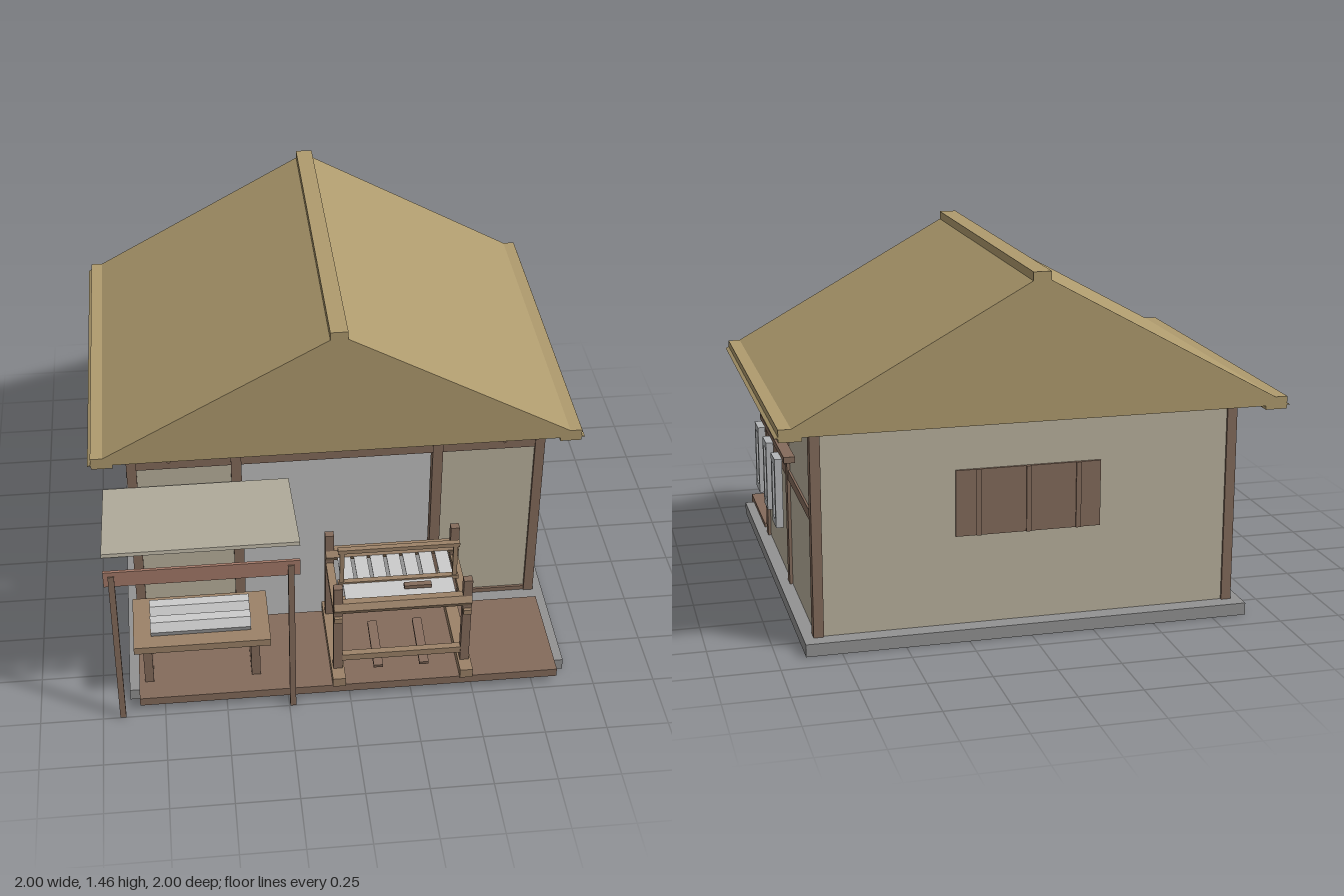
import * as THREE from 'three';

const material = (color) => new THREE.MeshStandardMaterial({ color, flatShading: true });
const M = {
  thatch: material(0xaf9b6e), wall: material(0xbab29e), wood: material(0x846b5b),
  red: material(0xa57a69), pale: material(0x9c8268), stone: material(0x929292),
  cloth: material(0xcccccc), mat: material(0xb5af9f), yarn: material(0xb4b6b8),
};

function add(parent, name, geometry, mat) {
  const mesh = new THREE.Mesh(geometry, mat);
  mesh.name = name;
  parent.add(mesh);
  return mesh;
}

// Box given by its extents on each axis
function box(parent, name, mat, [x0, x1], [y0, y1], [z0, z1]) {
  const mesh = add(parent, name, new THREE.BoxGeometry(x1 - x0, y1 - y0, z1 - z0), mat);
  mesh.position.set((x0 + x1) / 2, (y0 + y1) / 2, (z0 + z1) / 2);
  return mesh;
}

// Plank running in z from one height to another
function slope(parent, name, mat, [x0, x1], [zA, yA], [zB, yB], thick) {
  const length = Math.hypot(zB - zA, yB - yA);
  const mesh = add(parent, name, new THREE.BoxGeometry(x1 - x0, thick, length), mat);
  mesh.position.set((x0 + x1) / 2, (yA + yB) / 2, (zA + zB) / 2);
  mesh.rotation.x = -Math.atan2(yB - yA, zB - zA);
  return mesh;
}

// Six-sided roller lying along x
function roller(parent, name, mat, [x0, x1], y, z, r) {
  const geo = new THREE.CylinderGeometry(r, r, x1 - x0, 6).rotateZ(Math.PI / 2);
  const mesh = add(parent, name, geo, mat);
  mesh.position.set((x0 + x1) / 2, y, z);
  return mesh;
}

function group(parent, name) {
  const g = new THREE.Group();
  g.name = name;
  parent.add(g);
  return g;
}

const around = (c, half) => [c - half, c + half];

function buildHouse(root) {
  const house = group(root, 'house');
  box(house, 'foundation', M.stone, [-0.89, 0.89], [0, 0.05], [-0.9, 0.9]);
  box(house, 'porchDeck', M.wood, [-0.85, 0.85], [0.03, 0.067], [0.52, 0.97]);

  // Walls, with the middle bay of the front left open
  const h = [0.05, 0.89];
  box(house, 'backWall', M.wall, [-0.83, 0.83], h, [-0.83, -0.8]);
  for (const s of [-1, 1]) {
    box(house, 'sideWall', M.wall, around(s * 0.825, 0.0125), h, [-0.81, 0.43]);
    box(house, 'frontWall', M.wall, around(s * 0.615, 0.205), h, [0.415, 0.44]);
    // Timber frame
    for (const z of [0.43, -0.21, -0.815]) {
      box(house, 'wallPost', M.wood, around(s * 0.83, 0.02), h, around(z, 0.025));
    }
    box(house, 'frontPost', M.wood, around(s * 0.41, 0.021), h, [0.405, 0.455]);
    box(house, 'sideRail', M.wood, around(s * 0.832, 0.014), [0.5, 0.54], [-0.815, 0.43]);
    box(house, 'frontSill', M.wood, around(s * 0.615, 0.205), [0.05, 0.07], [0.41, 0.45]);
  }
  box(house, 'frontLintel', M.wood, [-0.82, 0.82], [0.82, 0.89], [0.41, 0.45]);

  // Shuttered window at the back
  box(house, 'shutter', M.wood, [-0.29, 0.29], [0.41, 0.675], [-0.84, -0.82]);
  for (const x of [-0.2, 0, 0.2]) {
    box(house, 'shutterBar', M.wood, around(x, 0.01), [0.41, 0.675], [-0.846, -0.83]);
  }
}

function buildRoof(root) {
  const roof = group(root, 'roof');
  const gable = new THREE.Shape([[-1, 0.893], [1, 0.893], [0, 1.446]].map((p) => new THREE.Vector2(...p)));
  const prism = new THREE.ExtrudeGeometry(gable, { depth: 1.5, bevelEnabled: false });
  add(roof, 'thatch', prism.translate(0, 0, -1), M.thatch);
  box(roof, 'ridgeCap', M.thatch, [-0.035, 0.035], [1.42, 1.46], [-1, 0.5]);
  box(roof, 'ridgeBeam', M.wood, [-0.022, 0.022], [0.872, 0.9], [-0.85, 0.47]);
  for (const s of [-1, 1]) {
    box(roof, 'eaveEdge', M.thatch, around(s * 0.961, 0.026), [0.89, 0.927], [-1, 0.5]);
    box(roof, 'eaveBoard', M.thatch, around(s * 0.943, 0.043), [0.878, 0.894], [-1, 0.5]);
    const purlin = box(roof, 'purlin', M.wood, around(s * 0.68, 0.025), [0.87, 0.92], [-0.82, 0.47]);
    purlin.rotation.z = Math.PI / 4;
  }
}

function buildCanopy(root) {
  const canopy = group(root, 'canopy');
  slope(canopy, 'canopyRoof', M.mat, [-0.95, -0.2], [0.455, 0.731], [0.998, 0.845], 0.015);
  box(canopy, 'canopyBeam', M.red, [-0.95, -0.2], [0.69, 0.76], [0.983, 0.995]);
  for (const x of [-0.92, -0.235]) {
    box(canopy, 'canopyPole', M.wood, around(x, 0.012), [0, 0.74], [0.978, 1]);
  }
}

function buildTable(root) {
  const table = group(root, 'clothTable');
  box(table, 'tableTop', M.pale, [-0.86, -0.315], [0.272, 0.304], [0.635, 0.93]);
  for (const x of [-0.808, -0.375]) {
    box(table, 'tableLeg', M.wood, around(x, 0.018), [0.067, 0.272], [0.67, 0.875]);
  }
  for (const z of [0.845, 0.75]) roller(table, 'clothRoll', M.cloth, [-0.79, -0.39], 0.34, z, 0.041);
}

function buildLoom(root) {
  const loom = group(root, 'loom');
  for (const x of [-0.045, 0.473]) {
    box(loom, 'foot', M.pale, around(x, 0.026), [0.066, 0.107], [0.505, 0.978]);
    for (const z of [0.9, 0.57]) {
      box(loom, 'post', M.wood, around(x, 0.018), [0.107, 0.528], around(z, 0.016));
    }
    box(loom, 'sideRail', M.pale, around(x, 0.016), [0.363, 0.386], [0.575, 0.93]);
  }
  for (const z of [0.9, 0.57]) {
    box(loom, 'lowerBeam', M.pale, [-0.04, 0.47], [0.146, 0.175], around(z, 0.014));
    roller(loom, 'warpBeam', M.pale, [-0.062, 0.49], 0.425, z, 0.03);
  }

  // Woven cloth and stretched warp
  box(loom, 'wovenCloth', M.cloth, [-0.01, 0.435], [0.418, 0.426], [0.76, 0.89]);
  for (let i = 0; i < 7; i++) {
    box(loom, 'warpStrip', M.cloth, around(0.012 + i * 0.067, 0.027), [0.419, 0.425], [0.57, 0.76]);
  }

  // Upright heddle frame
  for (const y of [0.424, 0.591]) {
    box(loom, 'heddleBar', M.pale, [-0.03, 0.46], around(y, 0.009), [0.745, 0.768]);
  }
  for (const x of [-0.014, 0.444]) {
    box(loom, 'heddleSide', M.pale, around(x, 0.009), [0.42, 0.6], [0.75, 0.764]);
  }
  box(loom, 'shuttle', M.wood, [0.23, 0.34], [0.438, 0.454], [0.812, 0.836]);
  for (const x of [0.12, 0.307]) {
    slope(loom, 'pedal', M.wood, around(x, 0.019), [0.695, 0.145], [0.92, 0.107], 0.015);
  }
}

function buildYarnRack(root) {
  const rack = group(root, 'yarnRack');
  box(rack, 'rackBar', M.wood, [0.85, 0.895], [0.64, 0.665], [-0.47, 0.212]);

  // Rectangular loops of yarn hanging from the bar
  const rect = (Type, w, h) => new Type([[-w, -h], [w, -h], [w, h], [-w, h]].map((p) => new THREE.Vector2(...p)));
  const outline = rect(THREE.Shape, 0.052, 0.142);
  outline.holes.push(rect(THREE.Path, 0.027, 0.113));
  const geo = new THREE.ExtrudeGeometry(outline, { depth: 0.03, bevelEnabled: false }).rotateY(Math.PI / 2);
  for (const z of [0.112, -0.128, -0.37]) {
    add(rack, 'yarnSkein', geo, M.yarn).position.set(0.895, 0.503, z);
  }
}

export function createModel() {
  const root = new THREE.Group();
  root.name = 'weaverHouse';
  buildHouse(root);
  buildRoof(root);
  buildCanopy(root);
  buildTable(root);
  buildLoom(root);
  buildYarnRack(root);
  return root;
}
